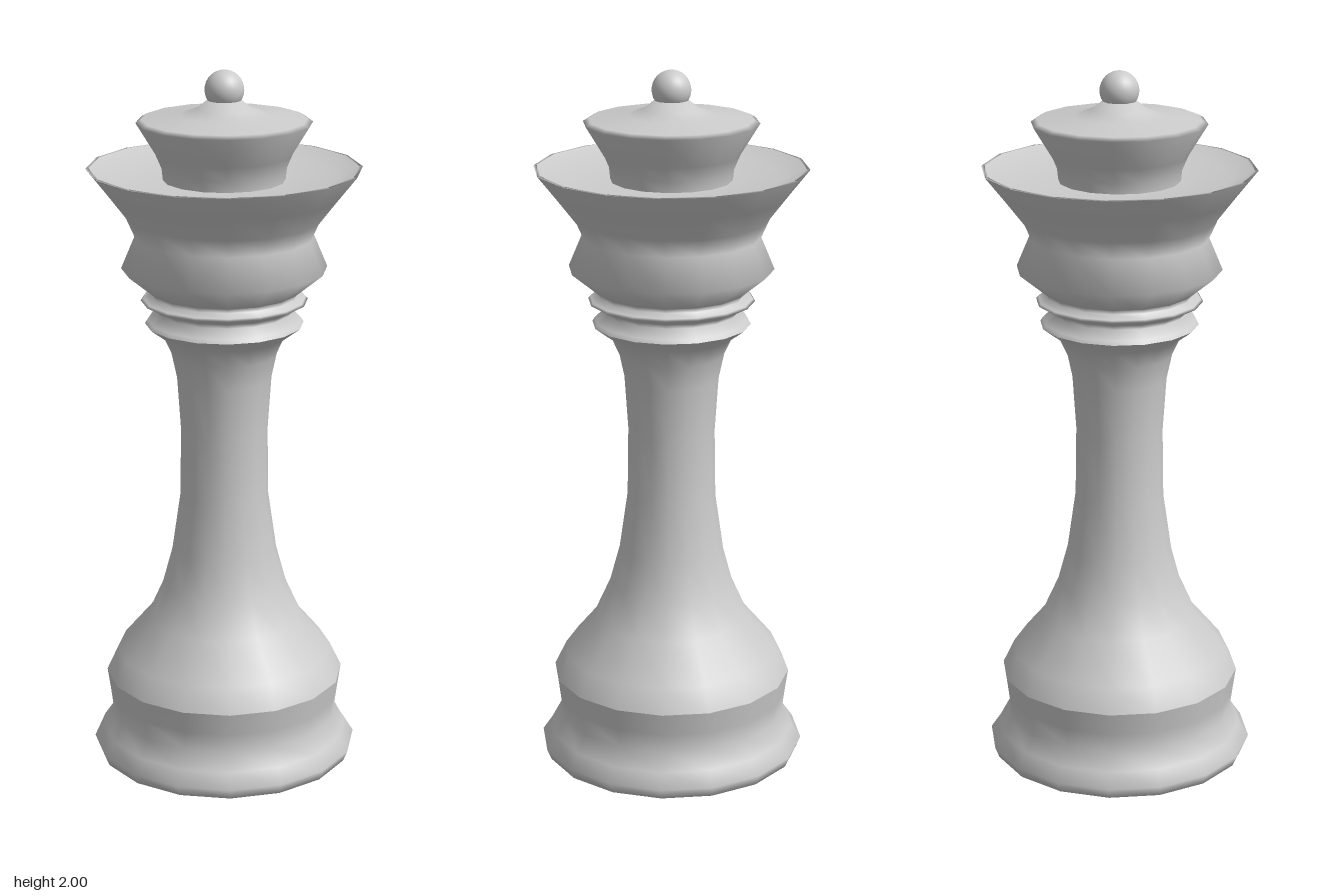
import * as THREE from 'three';

const SIDES = 16;
const material = new THREE.MeshStandardMaterial({ color: 0xcccccc });

// Turned part from [radius, height] pairs, listed bottom to top
function turned(name, profile) {
  const points = profile.map(([r, y]) => new THREE.Vector2(r, y));
  const mesh = new THREE.Mesh(new THREE.LatheGeometry(points, SIDES), material);
  mesh.name = name;
  return mesh;
}

export function createModel() {
  const group = new THREE.Group();
  group.name = 'chessQueen';

  // Foot with a slightly domed underside and a waist above it
  group.add(turned('base', [
    [0, 0.005], [0.2, 0.012], [0.3, 0.024], [0.36, 0.045], [0.372, 0.075],
    [0.345, 0.115], [0.318, 0.165], [0.325, 0.22], [0.334, 0.283],
  ]));

  // Bell flowing into the slender stem, flaring under the collar
  group.add(turned('stem', [
    [0.334, 0.283], [0.302, 0.35], [0.218, 0.45], [0.173, 0.55], [0.146, 0.65],
    [0.123, 0.81], [0.12, 1.0], [0.13, 1.15], [0.145, 1.22], [0.168, 1.27], [0.217, 1.307],
  ]));

  // Two thin rings
  group.add(turned('collar', [
    [0.217, 1.307], [0.21, 1.318], [0.182, 1.34], [0.195, 1.355],
    [0.228, 1.372], [0.222, 1.378], [0.2, 1.388], [0.205, 1.4],
  ]));

  // Head bulge, wide crown and its shallow dish
  group.add(turned('crown', [
    [0.205, 1.4], [0.28, 1.462], [0.243, 1.55], [0.265, 1.6], [0.315, 1.665],
    [0.372, 1.737], [0.362, 1.738], [0.3, 1.712], [0.165, 1.705],
  ]));

  // Upper cap with a gently rising top
  group.add(turned('cap', [
    [0.165, 1.705], [0.168, 1.735], [0.185, 1.775], [0.237, 1.86], [0.222, 1.869],
    [0.12, 1.88], [0.075, 1.896], [0.045, 1.92], [0, 1.925],
  ]));

  const finial = new THREE.Mesh(new THREE.SphereGeometry(0.053, 24, 16), material);
  finial.name = 'finial';
  finial.position.y = 1.947;
  group.add(finial);

  return group;
}
